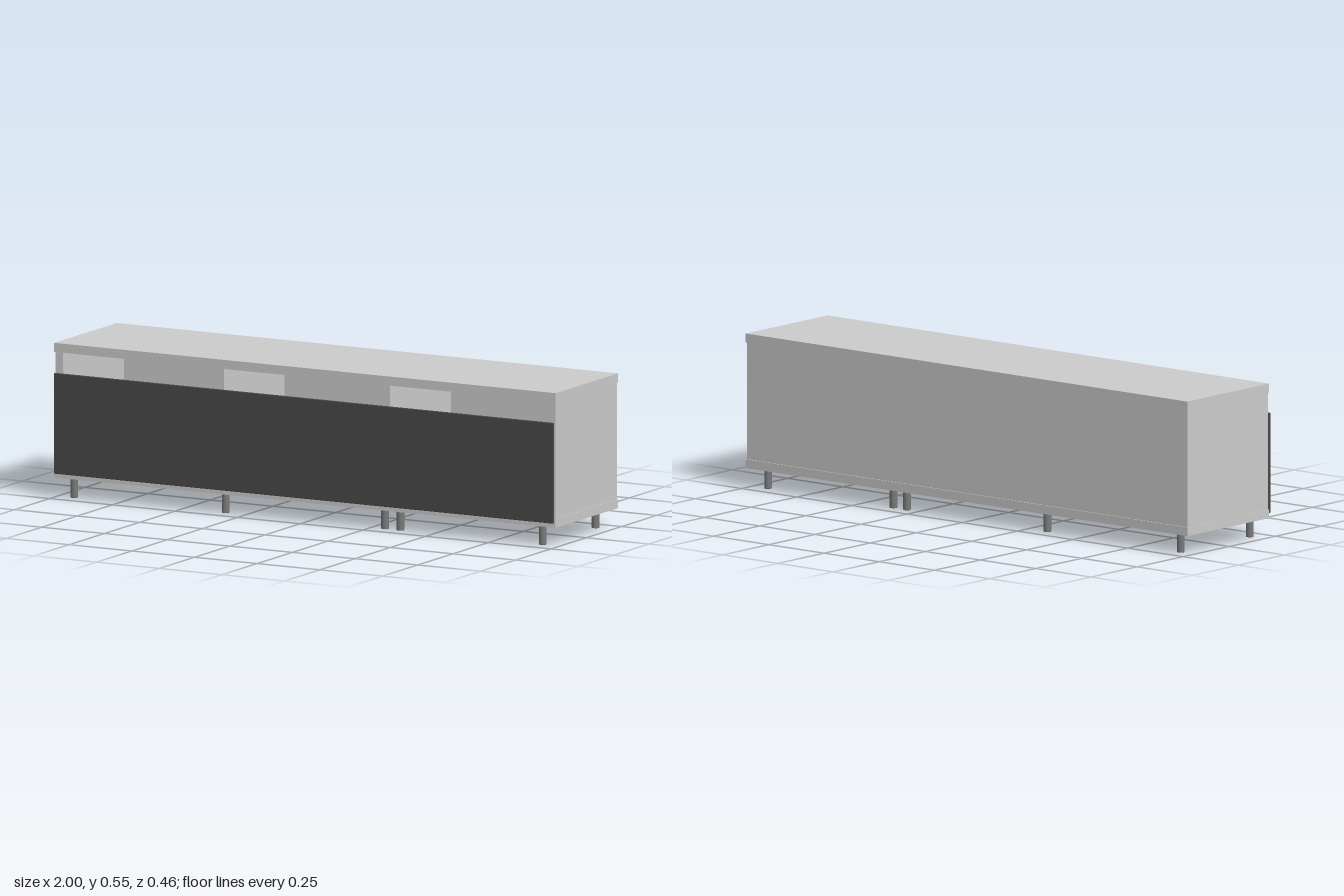
import * as THREE from 'three';
import { RoundedBoxGeometry } from 'three/addons/geometries/RoundedBoxGeometry.js';

export function createModel() {
  const model = new THREE.Group();
  model.name = 'sideboard';

  const body = new THREE.MeshStandardMaterial({ color: 0xcccccc });
  const dark = new THREE.MeshStandardMaterial({ color: 0x484848 });
  const metal = new THREE.MeshStandardMaterial({ color: 0x7a7a7a });

  function add(name, geometry, material, x, y, z) {
    const mesh = new THREE.Mesh(geometry, material);
    mesh.name = name;
    mesh.position.set(x, y, z);
    model.add(mesh);
    return mesh;
  }

  // Box given by its minimum and maximum along each axis
  function board(name, [x0, x1], [y0, y1], [z0, z1]) {
    const geometry = new THREE.BoxGeometry(x1 - x0, y1 - y0, z1 - z0);
    add(name, geometry, body, (x0 + x1) / 2, (y0 + y1) / 2, (z0 + z1) / 2);
  }

  // Carcass: top and base overhang the uprights slightly
  const slabZ = [-0.227, 0.217];
  const innerY = [0.1, 0.513];
  board('top', [-1, 1], [0.513, 0.545], slabZ);
  board('base', [-1, 1], [0.069, 0.1], slabZ);
  board('rightSide', [-0.997, -0.967], innerY, [-0.223, 0.213]);
  board('leftSide', [0.967, 0.997], innerY, [-0.223, 0.213]);
  board('back', [-0.967, 0.967], innerY, [-0.223, -0.217]);

  // Dividers making three compartments
  for (const x of [-0.333, 0.331]) {
    board('divider', [x - 0.007, x + 0.007], innerY, [-0.217, 0.213]);
  }

  // Front panel, leaving an open slot under the top
  add('frontPanel', new RoundedBoxGeometry(1.992, 0.355, 0.011, 2, 0.002), dark, 0, 0.2625, 0.2235);

  // Round legs in a front and a back row, with a small bevel at the foot
  const legProfile = [[0, 0], [0.0125, 0], [0.0135, 0.002], [0.0135, 0.069]]
    .map(([r, y]) => new THREE.Vector2(r, y));
  const legGeometry = new THREE.LatheGeometry(legProfile, 24);
  for (const x of [-0.937, -0.333, 0.303, 0.364, 0.932]) {
    for (const z of [-0.187, 0.187]) add('leg', legGeometry, metal, x, 0, z);
  }

  return model;
}
